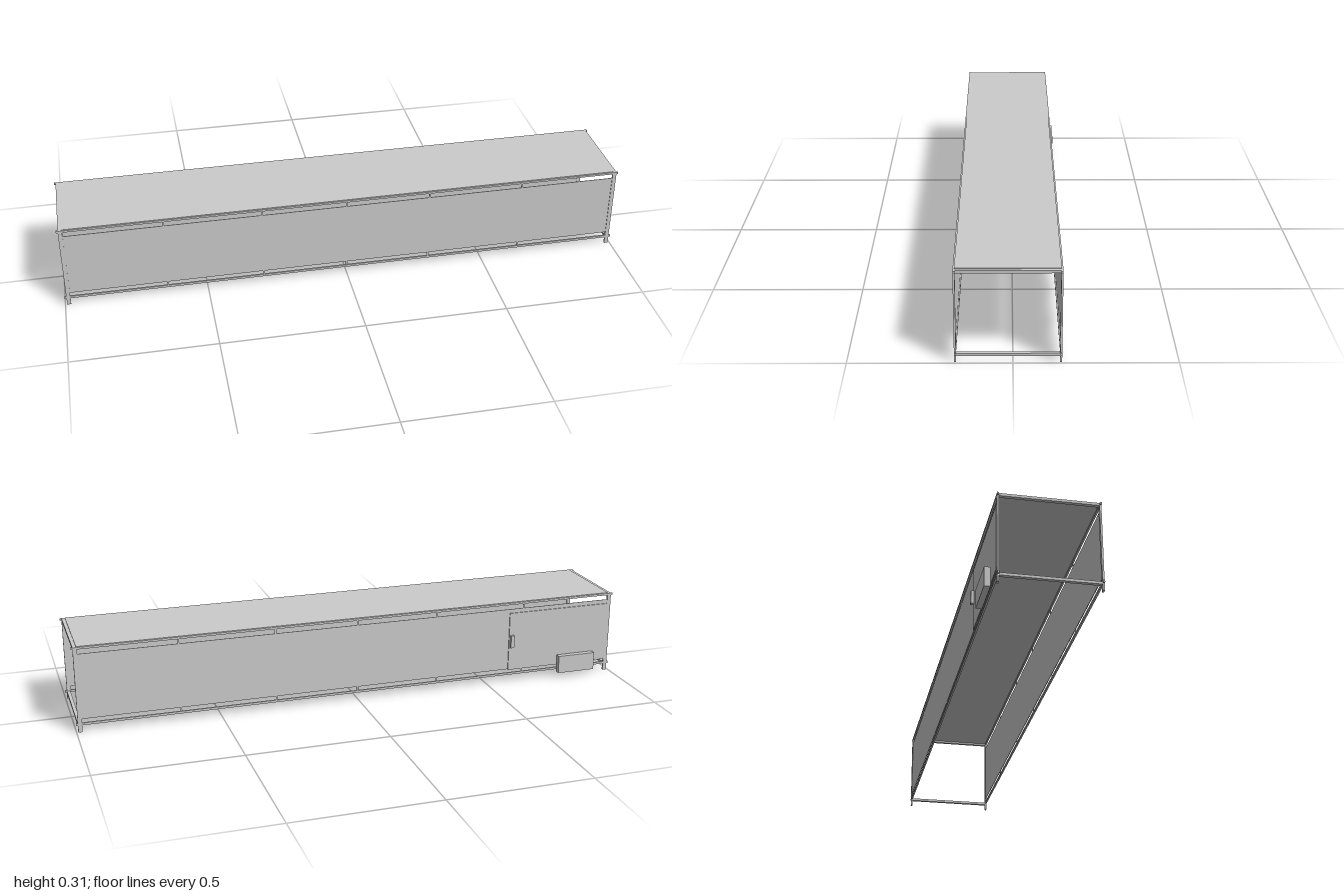
import * as THREE from 'three';

export function createModel() {
  const model = new THREE.Group();
  model.name = 'longEnclosure';
  const grey = new THREE.MeshStandardMaterial({ color: 0xcccccc });
  grey.name = 'light grey';

  // Box given by its limits on each axis
  function box(name, x0, x1, y0, y1, z0, z1) {
    const mesh = new THREE.Mesh(new THREE.BoxGeometry(x1 - x0, y1 - y0, z1 - z0), grey);
    mesh.position.set((x0 + x1) / 2, (y0 + y1) / 2, (z0 + z1) / 2);
    mesh.name = name;
    model.add(mesh);
  }

  const front = 0.174, back = -0.145;

  for (const z of [front, back]) {
    const side = z === front ? 'front' : 'back';

    // Corner posts, running down into feet
    for (const x of [-0.987, 0.987]) {
      box(side + 'Post', x - 0.007, x + 0.007, 0, 0.304, z - 0.003, z + 0.003);
    }

    // Long rails at floor and roof height
    box(side + 'BottomRail', -1, 1, 0.025, 0.033, z - 0.003, z + 0.003);
    box(side + 'TopRail', -1, 1, 0.297, 0.304, z - 0.003, z + 0.003);

    // Thin wall panel between the rails
    box(side + 'Panel', -0.981, 0.981, 0.047, 0.28, z - 0.001, z + 0.001);

    // Short pins that hold the panel to the rails
    for (const x of [-0.64, -0.3, 0, 0.3, 0.64]) {
      box(side + 'UpperPin', x - 0.003, x + 0.003, 0.279, 0.298, z - 0.001, z + 0.001);
      box(side + 'LowerPin', x - 0.003, x + 0.003, 0.032, 0.048, z - 0.001, z + 0.001);
    }
  }

  // Cross bars of the open ends
  for (const x of [-0.988, 0.988]) {
    box('endBottomBar', x - 0.006, x + 0.006, 0.021, 0.03, back, front);
    box('endTopBar', x - 0.006, x + 0.006, 0.295, 0.304, back, front);
  }

  // Roof sheet
  box('roof', -0.982, 0.982, 0.302, 0.306, back + 0.001, front - 0.001);

  // Back door, its handle and the step below it
  box('door', -0.983, -0.585, 0.045, 0.265, -0.1495, -0.146);
  box('doorHandle', -0.602, -0.589, 0.133, 0.18, -0.16, -0.149);
  box('step', -0.925, -0.78, 0.019, 0.085, -0.175, -0.155);

  return model;
}
